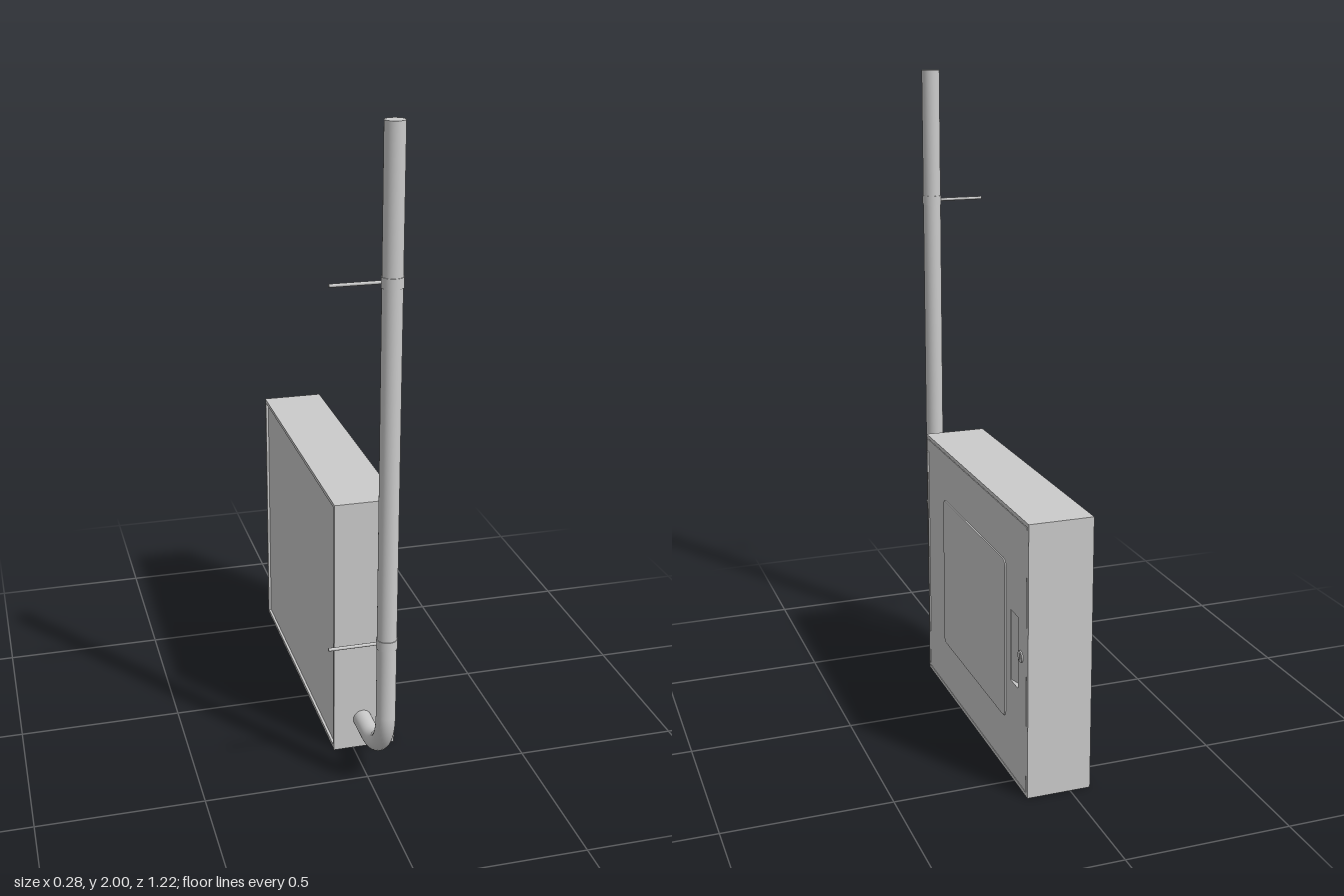
import * as THREE from 'three';

const grey = new THREE.MeshStandardMaterial({ color: 0xcccccc, side: THREE.DoubleSide });

function add(parent, name, geometry, x = 0, y = 0, z = 0) {
  const mesh = new THREE.Mesh(geometry, grey);
  mesh.name = name;
  mesh.position.set(x, y, z);
  parent.add(mesh);
  return mesh;
}

// Rectangle with optionally rounded corners, drawn in (-z, y)
function rect(z0, z1, y0, y1, r = 0, Type = THREE.Shape) {
  const a = -z1, b = -z0, s = new Type();
  if (!r) return s.setFromPoints([[a, y0], [b, y0], [b, y1], [a, y1]].map(p => new THREE.Vector2(...p)));
  s.moveTo(a + r, y0).lineTo(b - r, y0).quadraticCurveTo(b, y0, b, y0 + r);
  s.lineTo(b, y1 - r).quadraticCurveTo(b, y1, b - r, y1);
  s.lineTo(a + r, y1).quadraticCurveTo(a, y1, a, y1 - r);
  s.lineTo(a, y0 + r).quadraticCurveTo(a, y0, a + r, y0);
  return s;
}

// Extrude a side-on outline along x, from x0 to x1
function slab(shape, x0, x1, bevel = 0) {
  const g = new THREE.ExtrudeGeometry(shape, {
    depth: x1 - x0 - bevel, bevelEnabled: bevel > 0, bevelThickness: bevel,
    bevelSize: bevel, bevelOffset: -bevel, bevelSegments: 2, curveSegments: 6,
  });
  return g.rotateY(Math.PI / 2).translate(x0, 0, 0);
}

export function createModel() {
  const model = new THREE.Group();
  const X0 = -0.062, X1 = 0.133, Z0 = -0.612, Z1 = 0.335, H = 0.835;

  // Cabinet: outer walls, slightly recessed back, flush door in a narrow gap
  const cabinet = new THREE.Group();
  cabinet.name = 'cabinet';
  model.add(cabinet);
  const walls = rect(Z0, Z1, 0, H);
  const w = 0.012;
  walls.holes.push(rect(Z0 + w, Z1 - w, w, H - w, 0, THREE.Path));
  add(cabinet, 'cabinetWalls', slab(walls, X0, X1));
  add(cabinet, 'backPanel', slab(rect(Z0 + w, Z1 - w, w, H - w), X0 + 0.008, X0 + 0.016));
  add(cabinet, 'doorStop', slab(rect(Z0 + w, Z1 - w, w, H - w), X1 - 0.04, X1 - 0.03));

  const g = w + 0.002;
  const door = rect(Z0 + g, Z1 - g, g, H - g);
  door.holes.push(rect(-0.53, -0.47, 0.31, 0.53, 0, THREE.Path));
  add(cabinet, 'door', slab(door, X1 - 0.03, X1));
  add(cabinet, 'raisedDoorPanel', slab(rect(-0.43, 0.15, 0.172, 0.667, 0.02), X1 - 0.002, X1 + 0.005, 0.004));

  // Sloping finger pocket, deepest at the latch edge
  const pocket = new THREE.BoxGeometry(0.004, 0.22, 0.06);
  const p = pocket.attributes.position;
  for (let i = 0; i < p.count; i++) if (p.getZ(i) < 0) p.setX(i, p.getX(i) - 0.02);
  pocket.computeVertexNormals();
  add(cabinet, 'handlePocket', pocket, X1 - 0.005, 0.42, -0.5);

  // Round lock with keyhole bar
  const lock = new THREE.CylinderGeometry(0.017, 0.018, 0.008, 24).rotateZ(-Math.PI / 2);
  add(cabinet, 'lock', lock, X1, 0.42, -0.555);
  add(cabinet, 'keyhole', new THREE.BoxGeometry(0.002, 0.016, 0.004), X1 + 0.0045, 0.42, -0.555);

  // Hinge strip with a thicker knuckle at the top
  const hinge = new THREE.CylinderGeometry(0.004, 0.004, 0.57, 12);
  add(cabinet, 'hingePin', hinge, X1, 0.425, 0.317);
  const knuckle = new THREE.CylinderGeometry(0.006, 0.006, 0.07, 12);
  add(cabinet, 'hingeKnuckle', knuckle, X1, 0.745, 0.317);

  // Riser pipe: straight up, bent at the foot into the cabinet end
  const px = 0.029, pz = 0.581, r = 0.029, foot = 0.1, bend = 0.16;
  const v = (y, z) => new THREE.Vector3(px, y, z);
  const path = new THREE.CurvePath();
  path.add(new THREE.LineCurve3(v(2, pz), v(foot + bend, pz)));
  path.add(new THREE.CubicBezierCurve3(
    v(foot + bend, pz), v(foot + bend * 0.45, pz),
    v(foot, pz - bend * 0.45), v(foot, pz - bend)));
  path.add(new THREE.LineCurve3(v(foot, pz - bend), v(foot, Z1 - 0.01)));
  add(model, 'pipe', new THREE.TubeGeometry(path, 120, r, 28));
  add(model, 'pipeCap', new THREE.CircleGeometry(r, 28).rotateX(-Math.PI / 2), px, 2, pz);

  // Wall clamps: a thin band around the pipe and a rod out to the wall
  for (const y of [0.5, 1.575]) {
    const clamp = new THREE.Group();
    clamp.name = 'pipeClamp';
    clamp.position.set(px, y, pz);
    model.add(clamp);
    add(clamp, 'clampBand', new THREE.CylinderGeometry(r + 0.002, r + 0.002, 0.03, 28));
    const rod = new THREE.CylinderGeometry(0.005, 0.005, 0.15, 12).rotateZ(Math.PI / 2);
    add(clamp, 'clampRod', rod, -0.098, 0, -0.003);
  }
  return model;
}
